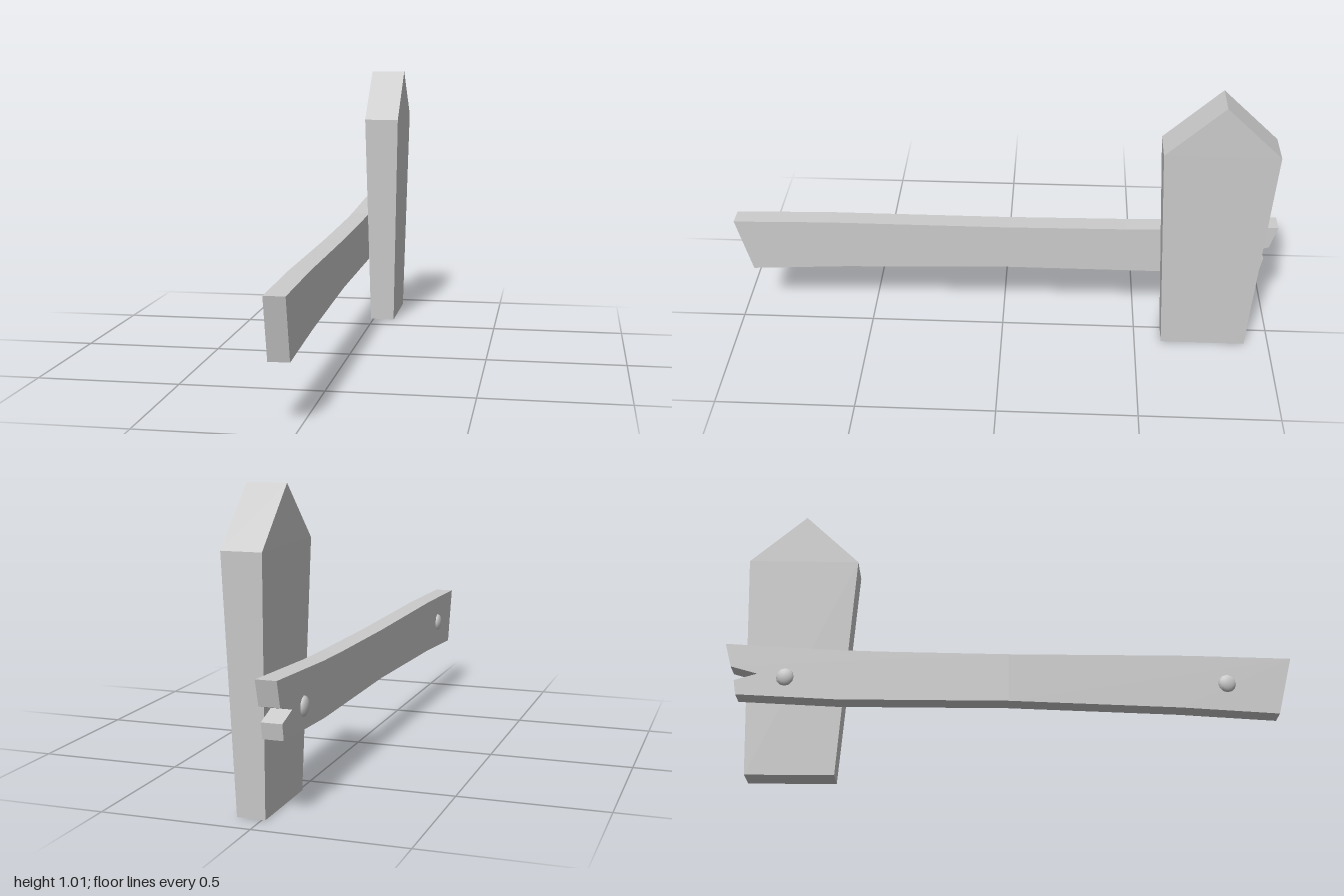
import * as THREE from 'three';

const material = new THREE.MeshStandardMaterial({ color: 0xcccccc });

// Board cut from a (z, y) outline, reaching from xMin to xMax
function board(name, outline, xMin, xMax) {
  const shape = new THREE.Shape(outline.map(([z, y]) => new THREE.Vector2(z, y)));
  const geometry = new THREE.ExtrudeGeometry(shape, { depth: xMax - xMin, bevelEnabled: false });
  geometry.rotateY(-Math.PI / 2).translate(xMax, 0, 0);
  const mesh = new THREE.Mesh(geometry, material);
  mesh.name = name;
  return mesh;
}

export function createModel() {
  const model = new THREE.Group();
  model.name = 'fencePiece';

  // Upright post: tapered body and pointed cap
  const post = new THREE.Group();
  post.name = 'post';
  const shoulder = 0.825, centreX = 0.036, halfTop = 0.066, halfFoot = 0.047;
  const body = board('postBody',
    [[-0.91, 0], [-0.60, 0], [-0.555, shoulder], [-0.955, shoulder]],
    centreX - halfTop, centreX + halfTop);
  const p = body.geometry.attributes.position;
  for (let i = 0; i < p.count; i++) {
    const half = THREE.MathUtils.lerp(halfFoot, halfTop, p.getY(i) / shoulder);
    p.setX(i, centreX + Math.sign(p.getX(i) - centreX) * half);
  }
  body.geometry.computeVertexNormals();
  const cap = board('postCap',
    [[-0.955, shoulder], [-0.555, shoulder], [-0.755, 1.012]],
    centreX - halfTop, centreX + halfTop);
  post.add(body, cap);
  model.add(post);

  // Rail with slanted front end and a split, notched back end
  model.add(board('rail', [
    [1, 0.42], [0.64, 0.428], [0, 0.428], [-0.45, 0.434], [-0.6, 0.438], [-1, 0.459],
    [-0.975, 0.372], [-0.88, 0.345], [-0.96, 0.32], [-0.95, 0.266],
    [-0.6, 0.25], [0, 0.25], [0.6, 0.23], [0.945, 0.21],
  ], -0.09, -0.021));

  // Domed nail heads on the outer face
  for (const [name, y, z] of [['frontNail', 0.322, 0.768], ['backNail', 0.333, -0.783]]) {
    const dome = new THREE.SphereGeometry(1, 12, 4, 0, Math.PI * 2, 0, Math.PI / 2);
    dome.rotateZ(Math.PI / 2).scale(0.015, 0.033, 0.031);
    const nail = new THREE.Mesh(dome, material);
    nail.name = name;
    nail.position.set(-0.09, y, z);
    model.add(nail);
  }

  return model;
}
